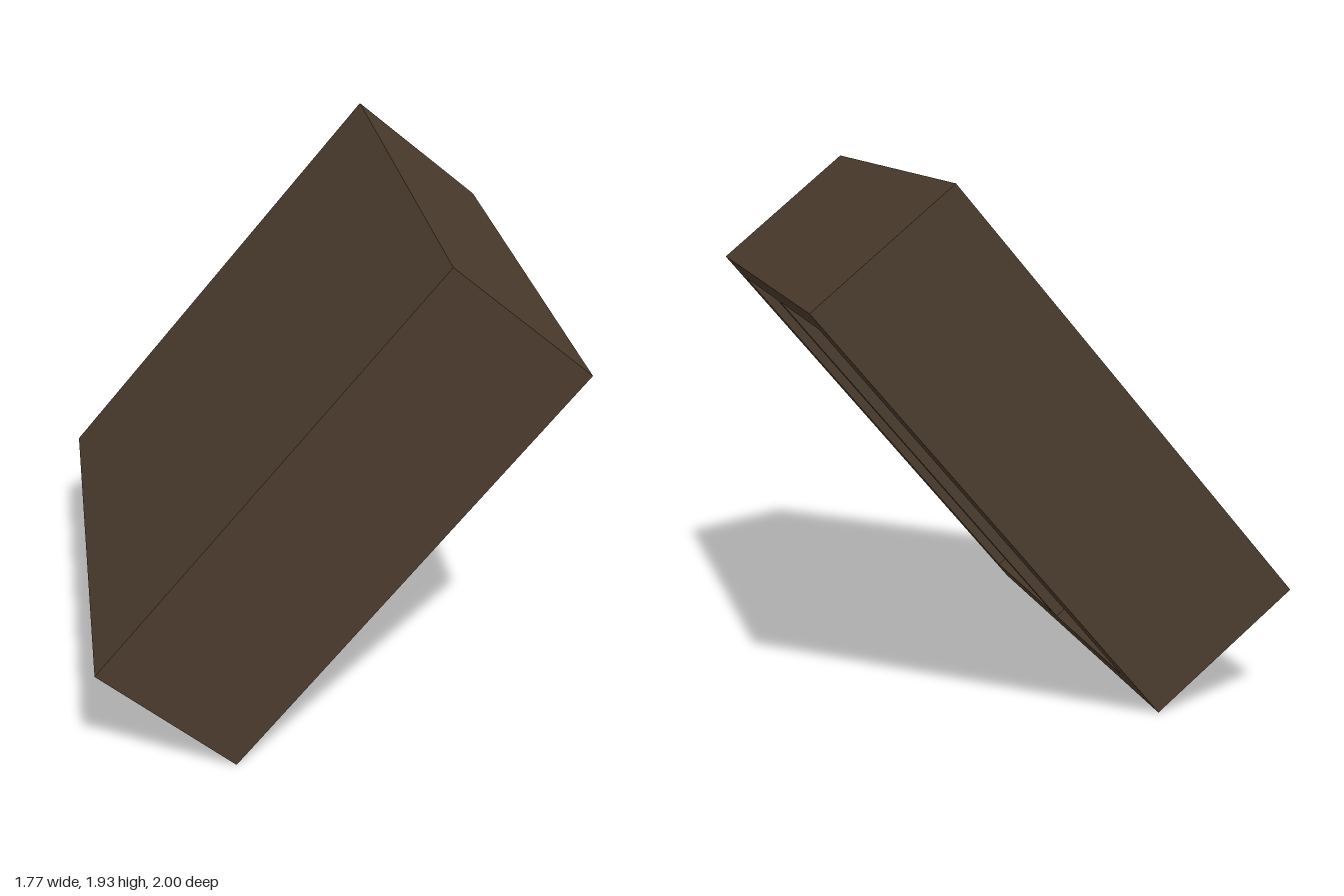
import * as THREE from 'three';

const LENGTH = 1.96, DEPTH = 0.66, WIDTH = 2, BACK = 0.04;

const wood = new THREE.MeshStandardMaterial({ color: 0x4b3b2d });
wood.name = 'dark brown wood';

// Rectangle outline from corner to corner
function rectangle(Type, x0, y0, x1, y1) {
  const r = new Type();
  r.moveTo(x0, y0);
  r.lineTo(x1, y0);
  r.lineTo(x1, y1);
  r.lineTo(x0, y1);
  r.closePath();
  return r;
}

export function createModel() {
  const model = new THREE.Group();
  const crate = new THREE.Group();
  crate.name = 'tiltedCrate';

  // Deep frame with two side-by-side compartments open at local +x
  const outline = rectangle(THREE.Shape, -WIDTH / 2, -LENGTH / 2, WIDTH / 2, LENGTH / 2);
  const low = -LENGTH / 2 + 0.117, high = LENGTH / 2 - 0.106;
  for (const [a, b] of [[-0.87, -0.07], [0, 0.8]]) {
    outline.holes.push(rectangle(THREE.Path, a, low, b, high));
  }
  const frameGeometry = new THREE.ExtrudeGeometry(outline, { depth: DEPTH - BACK, bevelEnabled: false });
  frameGeometry.rotateY(Math.PI / 2);
  const frame = new THREE.Mesh(frameGeometry, wood);
  frame.name = 'compartmentFrame';
  frame.position.x = -DEPTH / 2 + BACK;
  crate.add(frame);

  // Board closing the back of the compartments
  const back = new THREE.Mesh(new THREE.BoxGeometry(BACK, LENGTH, WIDTH), wood);
  back.name = 'backPanel';
  back.position.x = -DEPTH / 2 + BACK / 2;
  crate.add(back);

  // Lean the crate over so that it rests on one long edge
  crate.rotation.z = -THREE.MathUtils.degToRad(40);
  crate.position.y = 0.963;
  model.add(crate);
  return model;
}
